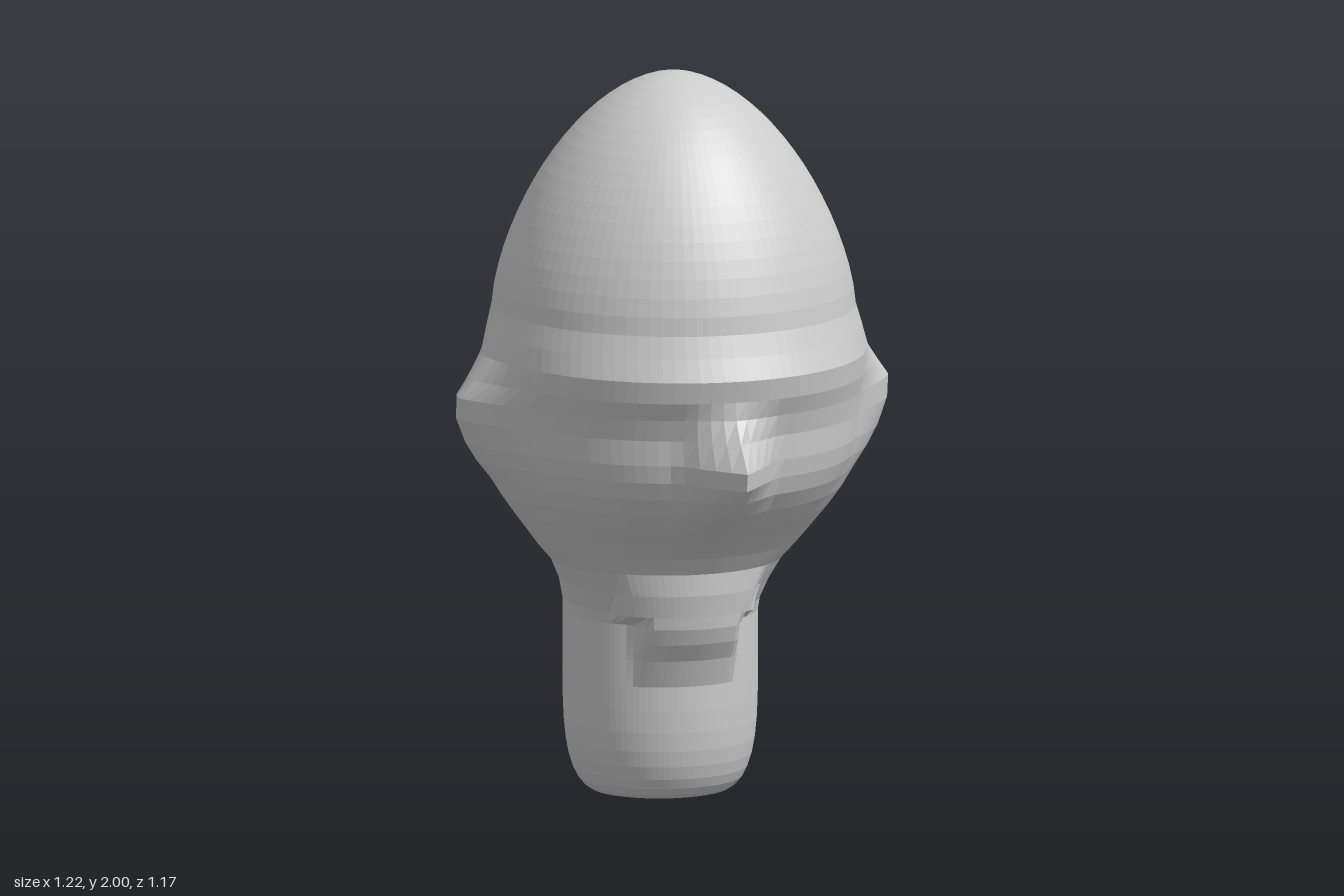
import * as THREE from 'three';

// Jaw and face cross-sections: [y, half width, z front, z back]
const faceRows = [
  [0.45, 0.266, 0.07, -0.45],
  [0.495, 0.266, 0.07, -0.45],
  [0.53, 0.268, 0.085, -0.449],
  [0.59, 0.285, 0.13, -0.447],
  [0.65, 0.308, 0.165, -0.449],
  [0.70, 0.345, 0.2, -0.456],
  [0.75, 0.375, 0.25, -0.466],
  [0.80, 0.405, 0.31, -0.483],
  [0.85, 0.435, 0.36, -0.505],
  [0.90, 0.46, 0.4, -0.532],
  [0.95, 0.485, 0.42, -0.56],
  [1.00, 0.5, 0.43, -0.578],
  [1.07, 0.508, 0.435, -0.585],
  [1.13, 0.51, 0.455, -0.587],
  [1.18, 0.512, 0.48, -0.588],
  [1.24, 0.512, 0.493, -0.588],
  [1.30, 0.505, 0.467, -0.588],
];

// How far each feature stands out, as [height, amount] points
const ear = [[0.6, 0], [0.8, 0.038], [0.9, 0.053], [1, 0.083], [1.07, 0.102], [1.13, 0.1], [1.18, 0.064], [1.24, 0.022], [1.33, 0]];
const nose = [[0.7, 0], [0.8, 0.03], [0.9, 0.11], [0.95, 0.157], [1, 0.157], [1.07, 0.09], [1.13, 0.03], [1.18, 0]];
const throat = [[0.34, 0], [0.4, 0.028], [0.45, 0.06], [0.495, 0.078], [0.53, 0.068], [0.65, 0]];

function amountAt(profile, y) {
  const i = profile.findIndex((p) => p[0] >= y);
  if (i < 1) return 0;
  const [y0, a0] = profile[i - 1], [y1, a1] = profile[i];
  return THREE.MathUtils.mapLinear(y, y0, y1, a0, a1);
}

// Rounded foot of the neck
function neckRows() {
  const rows = [[0, 0, -0.19, -0.19]];
  for (let k = 0; k <= 10; k++) {
    const u = (k / 10) ** 2;
    const width = 0.17 + 0.096 * Math.sqrt(1 - (1 - u) ** 4);
    rows.push([0.4 * u, width, width - 0.196, -0.184 - width]);
  }
  return rows;
}

// Egg-shaped crown, with rows closing up towards the tip
function crownRows() {
  const rows = [];
  for (let k = 0; k <= 20; k++) {
    const t = Math.sin((k / 20) * Math.PI / 2);
    const size = k === 20 ? 0 : (1 - t ** 1.5) ** 0.55;
    rows.push([1.36 + 0.64 * t, 0.492 * size, -0.07 + 0.515 * size, -0.07 - 0.515 * size]);
  }
  return rows;
}

// Point on a cross-section, with ears, nose and throat pushed out
function surfacePoint([y, width, front, back], angle) {
  let x = width * Math.sin(angle);
  let z = (front + back) / 2 + ((front - back) / 2) * Math.cos(angle);
  const dz = z + 0.09;
  const earShape = 1 - Math.max(0, Math.abs(dz) - 0.025) / (dz > 0 ? 0.22 : 0.27);
  x += Math.sign(x) * amountAt(ear, y) * Math.max(0, earShape);
  if (Math.cos(angle) > 0) {
    const throatWidth = y < 0.51 ? 0.15 : 0.2;
    z += amountAt(nose, y) * Math.max(0, 1 - Math.abs(x) / 0.14);
    z += amountAt(throat, y) * THREE.MathUtils.clamp((throatWidth - Math.abs(x)) / 0.02, 0, 1);
  }
  return [x, y, z];
}

function loft(rows, sides) {
  const positions = [], index = [];
  rows.forEach((row, i) => {
    for (let j = 0; j < sides; j++) {
      positions.push(...surfacePoint(row, (j / sides) * Math.PI * 2));
      if (i === rows.length - 1) continue;
      const a = i * sides + j, b = i * sides + ((j + 1) % sides);
      if (row[1] > 0) index.push(a, b, b + sides);
      if (rows[i + 1][1] > 0) index.push(a, b + sides, a + sides);
    }
  });
  const geometry = new THREE.BufferGeometry();
  geometry.setAttribute('position', new THREE.Float32BufferAttribute(positions, 3));
  geometry.setIndex(index);
  geometry.computeVertexNormals();
  return geometry;
}

export function createModel() {
  const group = new THREE.Group();
  const clay = new THREE.MeshStandardMaterial({ color: 0xcccccc, flatShading: true });
  clay.name = 'light grey clay';

  // Neck with throat bulge, face with nose and ears, and crown share their end rows
  const crown = crownRows();
  const parts = {
    neck: [...neckRows(), ...faceRows.slice(0, 5)],
    face: [...faceRows.slice(4), crown[0]],
    crown,
  };
  for (const [name, rows] of Object.entries(parts)) {
    const mesh = new THREE.Mesh(loft(rows, 96), clay);
    mesh.name = name;
    group.add(mesh);
  }
  return group;
}
